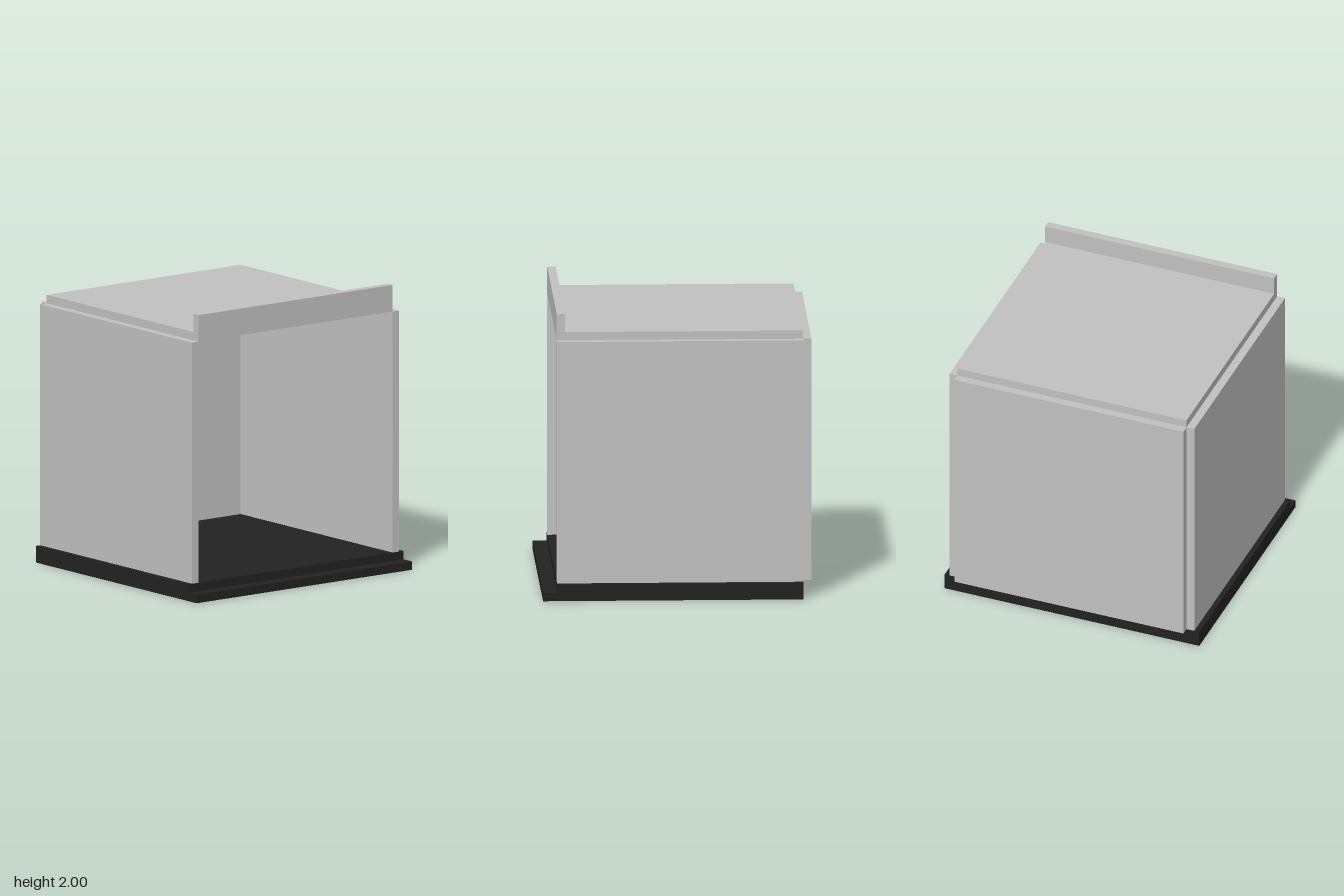
import * as THREE from 'three';

export function createModel() {
  const model = new THREE.Group();
  const panelGrey = new THREE.MeshStandardMaterial({ color: 0xc0c0c0 });
  panelGrey.name = 'panel grey';
  const baseBlack = new THREE.MeshStandardMaterial({ color: 0x222222 });
  baseBlack.name = 'base black';

  // Box given by its lower and upper limits on each axis
  function slab(name, material, [x0, x1], [y0, y1], [z0, z1]) {
    const mesh = new THREE.Mesh(new THREE.BoxGeometry(x1 - x0, y1 - y0, z1 - z0), material);
    mesh.position.set((x0 + x1) / 2, (y0 + y1) / 2, (z0 + z1) / 2);
    mesh.name = name;
    model.add(mesh);
  }

  const front = 0.83, back = -0.87, t = 0.058;
  const floorY = 0.117, wallTop = 1.813;
  const inner = 0.849, baseX = 0.944;

  // Floor slab with a lower step along the open front
  slab('base', baseBlack, [-baseX, baseX], [0, floorY], [back, front]);
  slab('frontStep', baseBlack, [-baseX, baseX], [0, t], [front, 0.928]);

  // Side walls stand outside the roof; the back wall sits behind the base
  slab('leftWall', panelGrey, [inner, inner + t], [floorY, wallTop], [back, front]);
  slab('rightWall', panelGrey, [-inner - t, -inner], [floorY, wallTop], [back, front]);
  slab('backWall', panelGrey, [-inner, inner], [floorY, wallTop], [back - t, back]);

  // Flat roof ending in a raised front parapet
  slab('roof', panelGrey, [-inner, inner], [wallTop, wallTop + t], [back, front - t]);
  slab('frontParapet', panelGrey, [-inner, inner], [wallTop, 2], [front - t, front]);

  return model;
}
